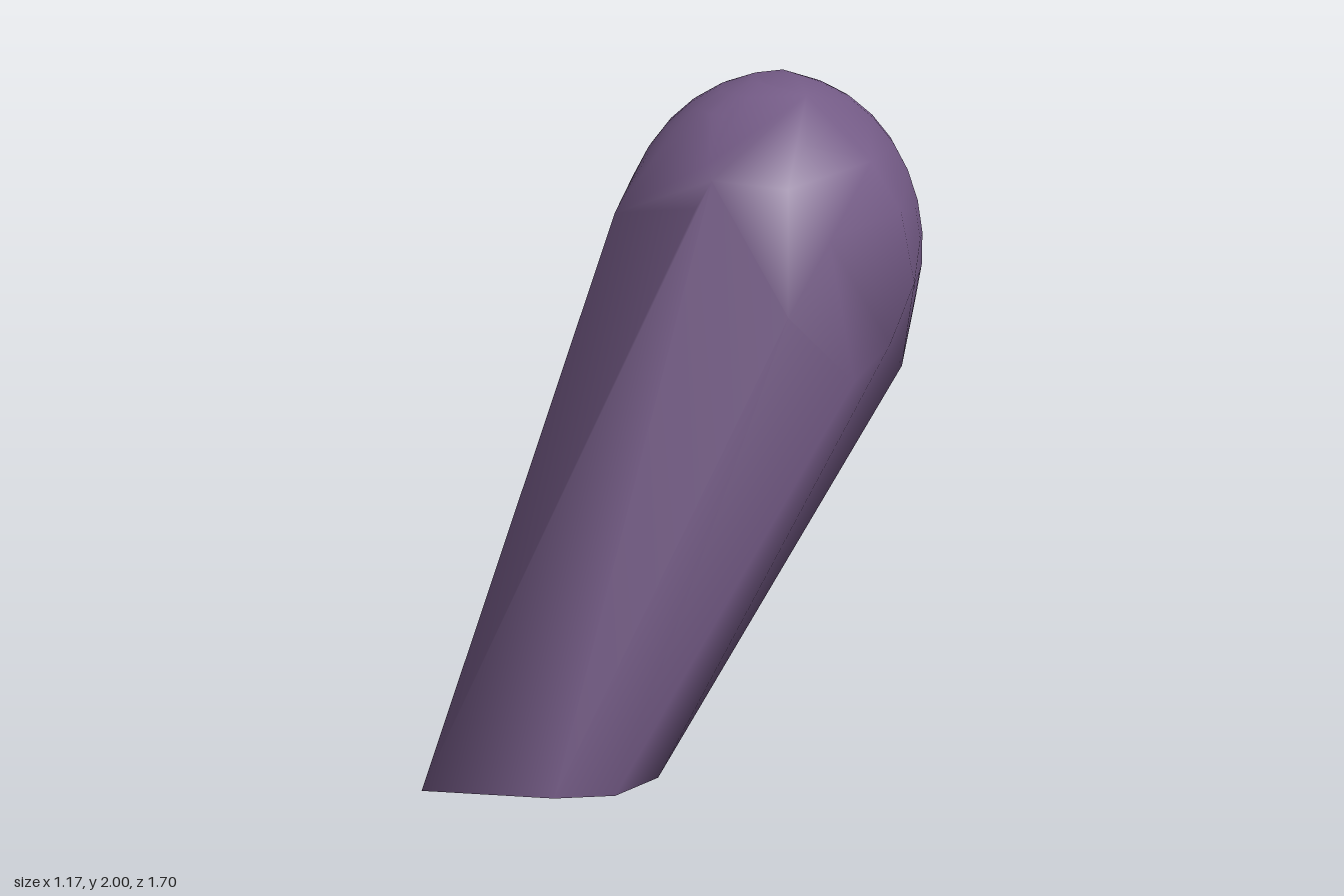
import * as THREE from 'three';
import { ConvexGeometry } from 'three/addons/geometries/ConvexGeometry.js';
import { mergeVertices } from 'three/addons/utils/BufferGeometryUtils.js';

// Rounded head: upper part of an ellipsoid, sampled in rings
function headPoints(center, radii, rings, sides, minY) {
  const points = [];
  for (let i = 0; i < rings; i++) {
    const phi = THREE.MathUtils.degToRad(10 + (i * 128) / (rings - 1));
    for (let j = 0; j < sides; j++) {
      const p = new THREE.Vector3().setFromSphericalCoords(1, phi, (j / sides) * Math.PI * 2);
      p.multiply(radii).add(center);
      if (p.y >= minY) points.push(p);
    }
  }
  return points;
}

export function createModel() {
  const group = new THREE.Group();
  group.name = 'roundedBoulder';

  // Flat foot outline (x, z) on the ground
  const foot = [
    [-0.59, 0.85], [-0.2, 0.76], [-0.04, 0.675], [0.025, 0.5], [-0.03, 0.22],
    [-0.1, 0.08], [-0.21, -0.015], [-0.4, 0.04], [-0.59, 0.3],
  ].map(([x, z]) => new THREE.Vector3(x, 0, z));

  const bulges = [
    // front shoulder
    [0.07, 1.82, 0.2], [0.1, 1.78, 0.25], [0.06, 1.7, 0.275], [-0.28, 1.62, 0.08],
    [0.3, 1.75, 0.15], [0.42, 1.6, 0.12], [0.35, 1.4, 0.28], [0.3, 1.85, 0],
    // left side
    [0.5, 1.18, 0.12], [0.565, 1.27, -0.02], [0.585, 1.42, -0.18], [0.55, 1.64, -0.15],
    [0.47, 1.8, -0.1],
    // lower back rim
    [0.21, 1.05, -0.75], [0, 1.08, -0.75], [0.46, 1.08, -0.46], [-0.2, 1.15, -0.68],
    // crown
    [0.02, 2, -0.32], [0.15, 2, -0.34], [0.25, 1.975, -0.14], [0.08, 2, -0.4],
  ].map((p) => new THREE.Vector3(...p));

  const head = headPoints(
    new THREE.Vector3(0.08, 1.45, -0.3), new THREE.Vector3(0.46, 0.55, 0.55), 13, 32, 1.06);

  // Skin stretched over foot and head, with smooth shared normals
  const hull = new ConvexGeometry([...foot, ...head, ...bulges]);
  hull.deleteAttribute('normal');
  const skin = mergeVertices(hull, 1e-4);
  skin.computeVertexNormals();

  const body = new THREE.Mesh(skin, new THREE.MeshStandardMaterial({ color: 0x735a85 }));
  body.name = 'body';
  group.add(body);
  return group;
}
